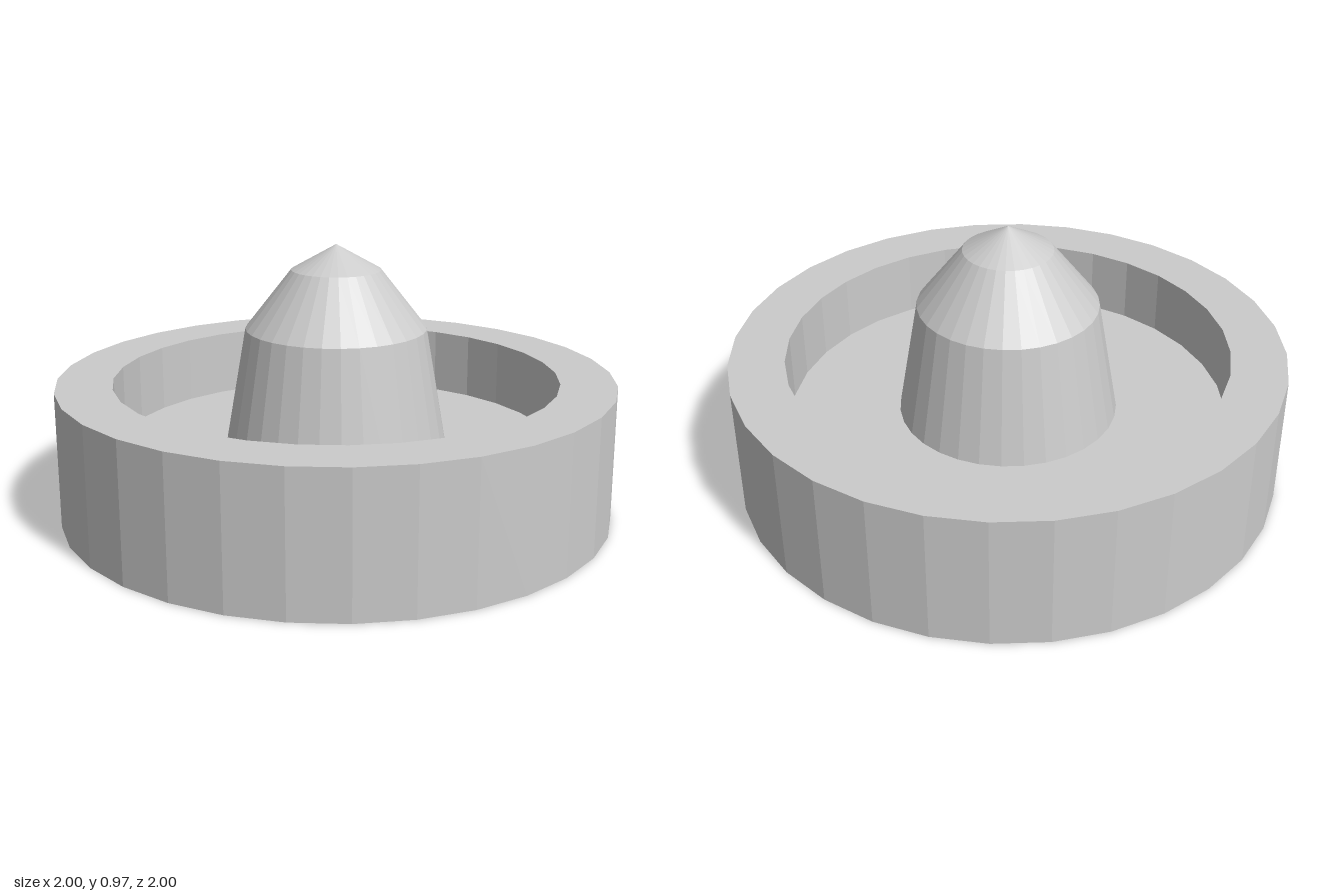
import * as THREE from 'three';

const SIDES = 32;

// Faceted solid of revolution from [radius, height] points, listed bottom to top along the outside
function turned(name, profile) {
  const points = profile.map(([r, y]) => new THREE.Vector2(r, y));
  const material = new THREE.MeshStandardMaterial({ color: 0xcccccc, flatShading: true });
  const mesh = new THREE.Mesh(new THREE.LatheGeometry(points, SIDES), material);
  mesh.name = name;
  return mesh;
}

export function createModel() {
  const model = new THREE.Group();
  model.name = 'dishWithCone';

  // Round dish: underside, outer wall, flat rim, inner wall and sunken floor
  model.add(turned('dish', [
    [0, 0], [1, 0], [1, 0.49], [0.8, 0.49], [0.8, 0.245], [0, 0.245],
  ]));

  // Tapered central post with a sloped shoulder and a shallow pointed tip
  model.add(turned('centralCone', [
    [0.4, 0.245], [0.325, 0.67], [0.16, 0.88], [0, 0.97],
  ]));

  return model;
}
